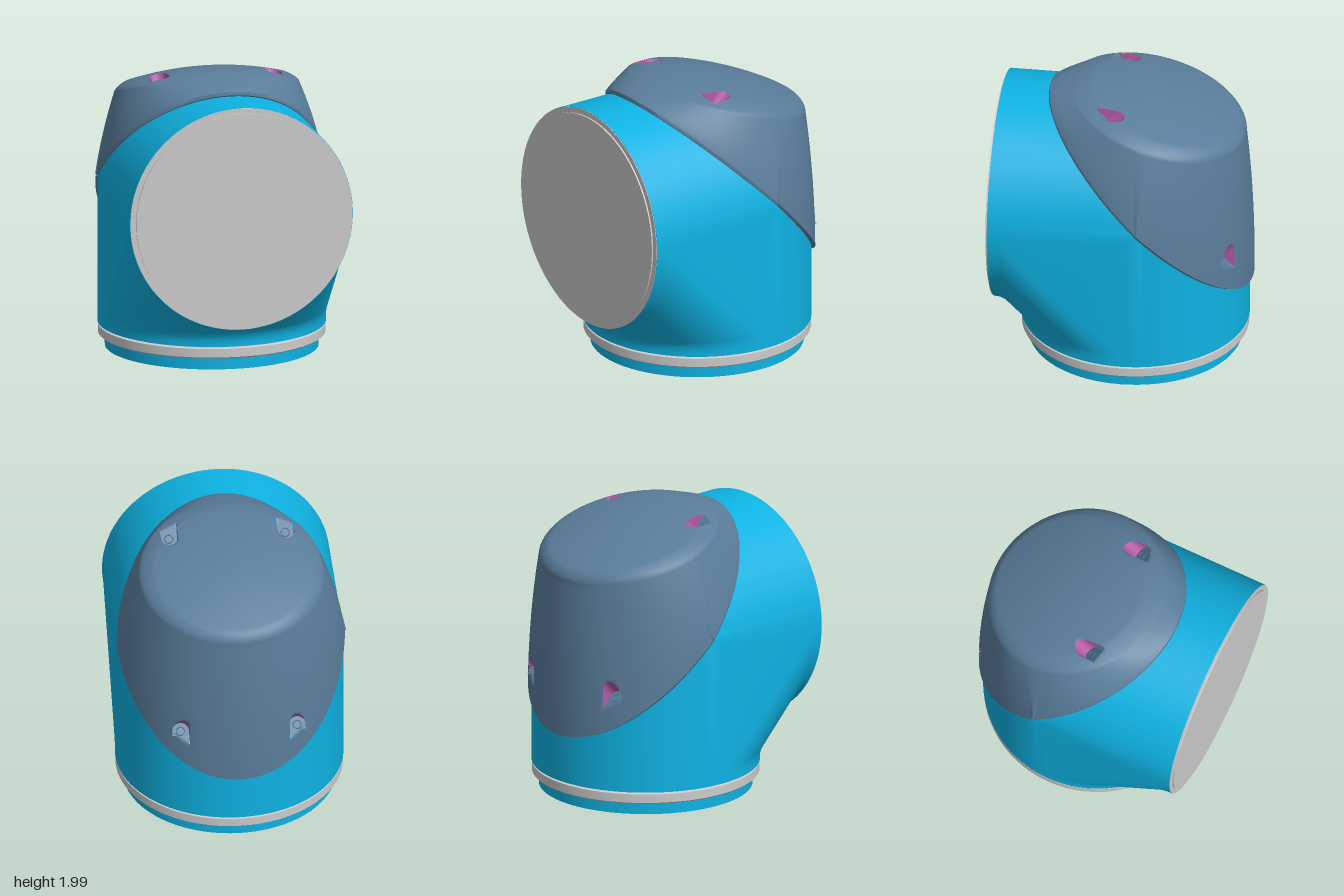
import * as THREE from 'three';
import { toCreasedNormals } from 'three/addons/utils/BufferGeometryUtils.js';

const BLUE = 0x0eb2e2, SLATE = 0x5a7d9b, PINK = 0xb45aa4, GREY = 0xcccccc;
const AXIS_Z = -0.06, AXIS_Y = 1.1, R = 0.78; // vertical pipe axis z, horizontal pipe axis y, radius
const CUT = { y: 1.2075, z: -0.1675 };        // middle of the 45 degree joint plane

function mesh(name, geometry, color, side = THREE.FrontSide) {
  const m = new THREE.Mesh(geometry, new THREE.MeshStandardMaterial({ color, side }));
  m.name = name;
  return m;
}

// Surface through rows of points of equal length
function loft(rows) {
  const cols = rows[0].length, index = [];
  for (let i = 0; i < rows.length - 1; i++) {
    for (let j = 0; j < cols - 1; j++) {
      const a = i * cols + j, c = a + cols;
      index.push(a, c, a + 1, a + 1, c, c + 1);
    }
  }
  const g = new THREE.BufferGeometry().setFromPoints(rows.flat());
  g.setIndex(index);
  g.computeVertexNormals();
  return g;
}

// Elbow body: side-on sections stepped across x, with a filleted 45 degree web in the inner corner
function bodyGeometry() {
  const f = 0.13, steps = 72;
  const section = (t) => {
    const x = R * Math.sin(t), s = Math.max(0, R * Math.cos(t));
    const front = AXIS_Z + s, back = AXIS_Z - s, low = AXIS_Y - s, high = AXIS_Y + s;
    const p = [[back, 0.17], [front, 0.17]];
    for (let k = 0; k <= 5; k++) {
      const a = (k / 5) * Math.PI / 4;
      p.push([front + f - f * Math.cos(a), 0.19 + f * Math.sin(a)]);
    }
    for (let k = 5; k >= 0; k--) {
      const a = (k / 5) * Math.PI / 4;
      p.push([0.85 - f * Math.sin(a), low - f + f * Math.cos(a)]);
    }
    p.push([0.855, low], [0.855, high]);
    p.push([Math.max(high - 1.375, back), high], [back, Math.min(back + 1.375, high)]);
    p.push(p[0]);
    return p.map(([z, y]) => new THREE.Vector3(x, y, z));
  };
  const rows = [];
  for (let k = 0; k <= steps; k++) rows.push(section((k / steps - 0.5) * Math.PI));
  const flat = (x) => rows[0].map(() => new THREE.Vector3(x, 0.9, 0.15)); // closes the flat cheeks
  return toCreasedNormals(loft([flat(-R), ...rows, flat(R)]), 0.5);
}

// Cap shell in joint-plane coordinates: y is the plane normal, z runs up the slope
function capGeometry() {
  const N = 360, q = Math.SQRT2;
  const local = (x, y, z) => new THREE.Vector3(
    x, (y - CUT.y - z + CUT.z) / q, (z - CUT.z + y - CUT.y) / q);
  const ring = (fn) => Array.from({ length: N + 1 }, (_, j) => {
    const a = (j % N) / N * Math.PI * 2;
    return fn(Math.cos(a), Math.sin(a));
  });
  const rim = (k, n) => ring((c, s) => new THREE.Vector3(
    0.79 * c * k, n, Math.sign(s) * Math.max(0, 0.8 * Math.abs(s) - 0.1) * q * k));
  const shoulder = ring((c, s) => {
    const z = -0.22 + 0.6 * s;
    return local(0.63 * c, 1.78 + 0.3 * (z + 0.22), z);
  });
  const top = (t) => ring((c, s) => local(
    0.535 * c * t, 1.838 + 0.29 * 0.515 * s * t + 0.07 * (1 - t * t), -0.265 + 0.515 * s * t));
  const outward = ring((c, s) => new THREE.Vector3(c, -s / q, s / q));
  const blend = (a, b, v, bulge) => a.map((p, j) =>
    p.clone().lerp(b[j], v).addScaledVector(outward[j], bulge * v * (1 - v)));

  const edge = rim(1, 0.007), panel = top(1);
  const rows = [ring(() => new THREE.Vector3(0, -0.012, 0)), rim(0.985, -0.012)];
  for (let i = 0; i <= 56; i++) rows.push(blend(edge, shoulder, i / 56, 0.06));
  for (let i = 1; i <= 10; i++) rows.push(blend(shoulder, panel, i / 10, 0.05));
  for (let i = 1; i <= 26; i++) rows.push(top(1 - i / 26));
  return loft(rows);
}

// Screw pockets: U-shaped slots sunk into the cap, open down the slope
const POCKET = { x: 0.4, u: 0.652, r: 0.058 };
const floorLevel = (u) => (u > 0 ? 0.29 : 0.13);

function inPocket(p) {
  const d = Math.abs(p.x) - POCKET.x, w = Math.abs(p.z) - POCKET.u;
  return p.y > 0.05 && Math.abs(d) < POCKET.r && (w >= 0 || Math.hypot(d, w) < POCKET.r);
}

function snapToPocketEdge(p) {
  const d = Math.abs(p.x) - POCKET.x, w = Math.abs(p.z) - POCKET.u;
  const k = POCKET.r / (w >= 0 ? Math.abs(d) || 1e-4 : Math.hypot(d, w));
  p.x = Math.sign(p.x) * (POCKET.x + d * k);
  if (w < 0) p.z = Math.sign(p.z) * (POCKET.u + w * k);
}

// Sinks the shell to the pocket floors and trims it along the slot edges
function sinkPockets(geometry) {
  const g = geometry.toNonIndexed(), pos = g.attributes.position;
  for (let i = 0; i < pos.count; i += 3) {
    const tri = [0, 1, 2].map((k) => new THREE.Vector3().fromBufferAttribute(pos, i + k));
    const inside = tri.map(inPocket);
    const all = inside.every(Boolean);
    tri.forEach((p, k) => {
      if (!inside[k]) return;
      const level = floorLevel(p.z);
      if (all) p.y = Math.min(p.y, level);
      else if (p.y > level) snapToPocketEdge(p);
      pos.setXYZ(i + k, p.x, p.y, p.z);
    });
  }
  return toCreasedNormals(g, 0.75);
}

function pocket(sx, su, shell) {
  const g = new THREE.Group();
  g.name = 'screwPocket';
  const level = floorLevel(su), ray = new THREE.Raycaster(), down = new THREE.Vector3(0, -1, 0);
  // Slot outline, running from one open end around the round end to the other
  const outline = (reach) => {
    const pts = [];
    for (let k = 0; k <= 6; k++) pts.push([POCKET.r, reach * (1 - k / 6)]);
    for (let k = 1; k < 16; k++) {
      const a = k / 16 * Math.PI;
      pts.push([POCKET.r * Math.cos(a), -POCKET.r * Math.sin(a)]);
    }
    for (let k = 0; k <= 6; k++) pts.push([-POCKET.r, reach * k / 6]);
    return pts.map(([d, w]) => new THREE.Vector3(sx * (POCKET.x + d), level - 0.003, su * (POCKET.u + w)));
  };
  const foot = outline(0.1);
  const lip = foot.map((p) => {
    ray.set(new THREE.Vector3(p.x, 2, p.z), down);
    const hit = ray.intersectObject(shell)[0];
    return new THREE.Vector3(p.x, Math.max(p.y, hit ? hit.point.y : p.y), p.z);
  });
  g.add(mesh('pocketWall', loft([foot, lip]), PINK, THREE.DoubleSide));

  const base = outline(0.03);
  const middle = base.map(() => new THREE.Vector3(sx * POCKET.x, level - 0.003, su * (POCKET.u + 0.03)));
  g.add(mesh('pocketFloor', loft([base, middle]), SLATE, THREE.DoubleSide));

  const screw = mesh('screwRim', new THREE.TorusGeometry(0.028, 0.004, 6, 24), SLATE);
  screw.rotation.x = Math.PI / 2;
  screw.position.set(sx * POCKET.x, level, su * POCKET.u);
  g.add(screw);
  return g;
}

export function createModel() {
  const model = new THREE.Group();
  model.name = 'elbowJoint';
  model.add(mesh('elbowBody', bodyGeometry(), BLUE));

  // Base spigot and sealing ring
  const spigot = mesh('baseSpigot', new THREE.CylinderGeometry(0.73, 0.73, 0.12, 72), BLUE);
  spigot.position.set(0, 0.06, AXIS_Z);
  const profile = [[0.7, 0.085], [0.765, 0.085], [0.777, 0.095], [0.777, 0.155], [0.75, 0.16], [0.75, 0.175]];
  const seal = mesh('sealRing', toCreasedNormals(
    new THREE.LatheGeometry(profile.map(([r, y]) => new THREE.Vector2(r, y)), 72), 0.5), GREY);
  seal.position.z = AXIS_Z;
  model.add(spigot, seal);

  // Front flange and its raised plate
  for (const [name, r, z] of [['frontFlange', 0.778, 0.859], ['frontPlate', 0.74, 0.87]]) {
    const disc = mesh(name, new THREE.CylinderGeometry(r, r, 0.02, 72), GREY);
    disc.rotation.x = Math.PI / 2;
    disc.position.set(0, AXIS_Y, z - 0.01);
    model.add(disc);
  }

  // Slanted cap with four screw pockets
  const cap = new THREE.Group();
  cap.name = 'cap';
  const raw = capGeometry();
  const shell = mesh('rawShell', raw, SLATE, THREE.DoubleSide);
  for (const sx of [-1, 1]) for (const su of [-1, 1]) cap.add(pocket(sx, su, shell));
  cap.add(mesh('capShell', sinkPockets(raw), SLATE));
  cap.position.set(0, CUT.y, CUT.z);
  cap.rotation.x = -Math.PI / 4;
  model.add(cap);
  return model;
}
